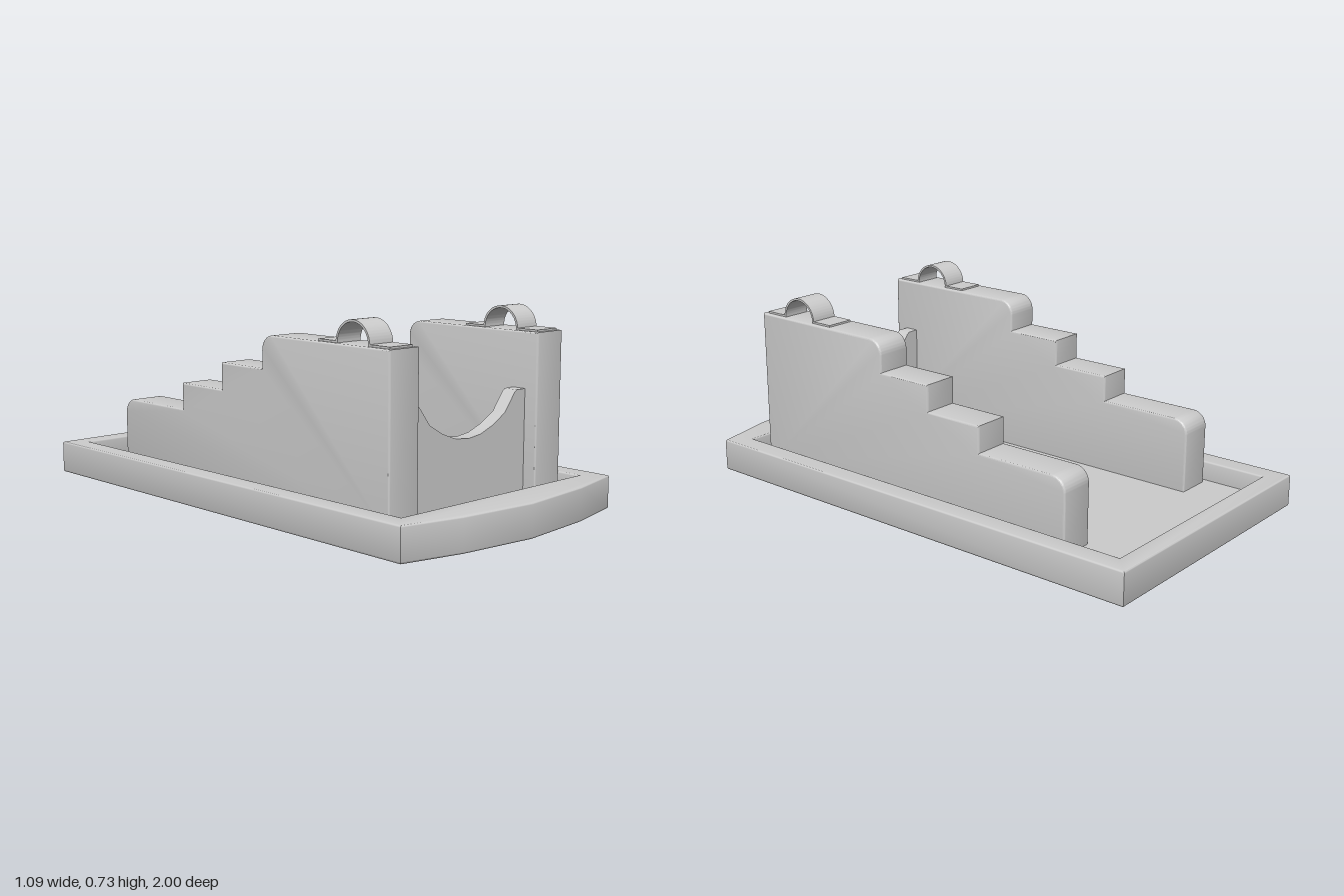
import * as THREE from 'three';
import { toCreasedNormals } from 'three/addons/utils/BufferGeometryUtils.js';

const material = new THREE.MeshStandardMaterial({ color: 0xcccccc });

const shapeFrom = (points) => new THREE.Shape(points.map(([x, y]) => new THREE.Vector2(x, y)));

// Extrusion from 0 to depth whose softened edges stay inside the outline
function softExtrude(shape, depth, bevel) {
  const geometry = new THREE.ExtrudeGeometry(shape, {
    depth: depth - 2 * bevel, bevelEnabled: bevel > 0, bevelSize: bevel,
    bevelThickness: bevel, bevelOffset: -bevel, bevelSegments: 3, curveSegments: 8,
  });
  geometry.translate(0, 0, bevel);
  return toCreasedNormals(geometry, 0.6);
}

// Profile drawn in (z, y), extruded across x and centred on x = 0
function crossExtrude(shape, width, bevel) {
  return softExtrude(shape, width, bevel).rotateY(-Math.PI / 2).translate(width / 2, 0, 0);
}

function mesh(name, geometry, parent) {
  const m = new THREE.Mesh(geometry, material);
  m.name = name;
  parent.add(m);
  return m;
}

export function createModel() {
  const model = new THREE.Group();
  model.name = 'steppedCradle';

  // Tray rim with a bowed front
  const rim = shapeFrom([
    [-0.545, 1], [-0.545, -0.915], [-0.31, -0.968], [0, -1],
    [0.31, -0.968], [0.545, -0.915], [0.545, 1],
  ]);
  rim.holes.push(new THREE.Path([
    [-0.465, -0.84], [-0.465, 0.927], [0.465, 0.927], [0.465, -0.84],
  ].map(([x, y]) => new THREE.Vector2(x, y))));
  mesh('trayRim', softExtrude(rim, 0.125, 0.007).rotateX(-Math.PI / 2), model);

  // Recessed tray floor
  mesh('trayFloor', new THREE.BoxGeometry(0.96, 0.05, 1.797), model).position.set(0, 0.025, -0.0435);

  // Stepped side wall profile
  const wall = new THREE.Shape();
  wall.moveTo(0.765, 0.04);
  wall.lineTo(0.765, 0.65);
  wall.lineTo(0.195, 0.65);
  wall.absarc(0.195, 0.595, 0.055, Math.PI / 2, Math.PI, false);
  wall.lineTo(0.14, 0.53);
  wall.lineTo(-0.085, 0.53);
  wall.lineTo(-0.085, 0.43);
  wall.lineTo(-0.32, 0.43);
  wall.lineTo(-0.32, 0.33);
  wall.lineTo(-0.635, 0.33);
  wall.absarc(-0.635, 0.275, 0.055, Math.PI / 2, Math.PI, false);
  wall.lineTo(-0.69, 0.04);
  const wallGeometry = crossExtrude(wall, 0.14, 0.007);

  // Clip: a thin strap with a raised half loop between two flat tabs
  const clip = new THREE.Shape();
  clip.moveTo(0.75, 0.645);
  clip.lineTo(0.75, 0.657);
  clip.lineTo(0.66, 0.657);
  clip.absarc(0.58, 0.653, 0.08, 0, Math.PI, false);
  clip.lineTo(0.5, 0.657);
  clip.lineTo(0.415, 0.657);
  clip.lineTo(0.415, 0.645);
  clip.lineTo(0.508, 0.645);
  clip.absarc(0.58, 0.653, 0.072, Math.PI, 0, true);
  clip.lineTo(0.652, 0.645);
  const clipGeometry = toCreasedNormals(new THREE.ExtrudeGeometry(clip, {
    depth: 0.108, bevelEnabled: false, curveSegments: 24,
  }), 0.6).rotateY(-Math.PI / 2).translate(0.054, 0, 0);

  for (const [side, s] of [['left', 1], ['right', -1]]) {
    mesh(side + 'SteppedWall', wallGeometry, model).position.x = s * 0.375;
    mesh(side + 'Clip', clipGeometry, model).position.x = s * 0.375;
  }

  // Front cross panel with a faceted scoop
  const half = [[0.31, 0.445], [0.26, 0.445], [0.248, 0.438], [0.195, 0.37], [0.13, 0.333], [0.065, 0.309]];
  const panel = shapeFrom([
    [-0.31, 0.04], [0.31, 0.04], ...half, [0, 0.301],
    ...half.map(([x, y]) => [-x, y]).reverse(),
  ]);
  mesh('frontPanel', softExtrude(panel, 0.055, 0).translate(0, 0, 0.657), model);

  return model;
}
